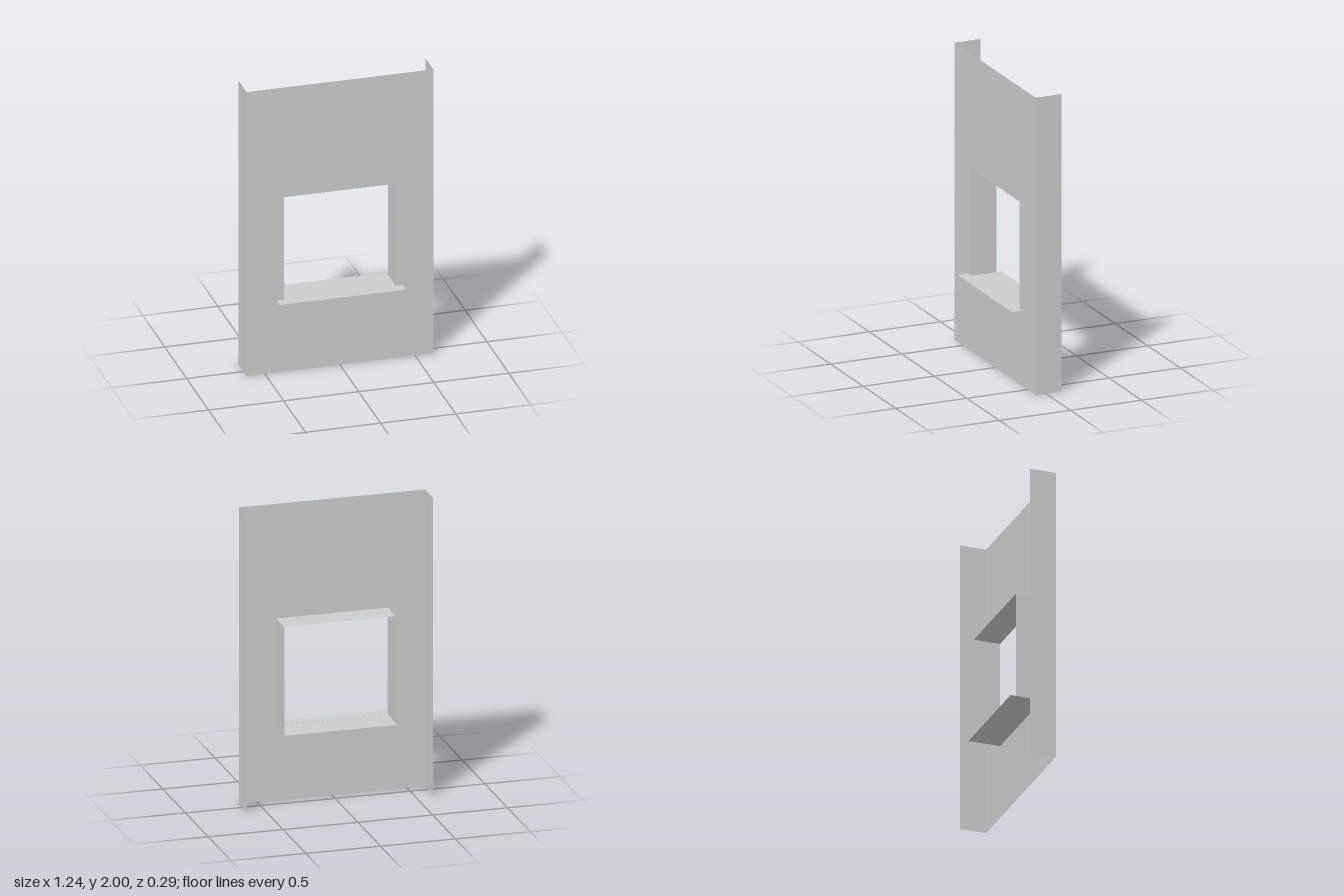
import * as THREE from 'three';

const material = new THREE.MeshStandardMaterial({ color: 0xcccccc, side: THREE.DoubleSide, flatShading: true });

const W = 0.622, H = 2;                        // panel half width and height
const HOLE = { x: 0.373, y0: 0.506, y1: 1.227 }; // window opening
const FRONT = 0.072, BACK = -0.108;            // sheet front and return depth
const SILL_BACK = -0.145, SILL_FRONT = 0.145, SILL_X = 0.422;

export function createModel() {
  const group = new THREE.Group();

  const add = (name, geometry, x = 0, y = 0, z = 0) => {
    const mesh = new THREE.Mesh(geometry, material);
    mesh.name = name;
    mesh.position.set(x, y, z);
    group.add(mesh);
  };

  // Thin sheets standing along the depth, or lying flat
  const uprightSheet = (name, x, y0, y1, side) =>
    add(name, new THREE.PlaneGeometry(FRONT - BACK, y1 - y0).rotateY(side * Math.PI / 2),
      x, (y0 + y1) / 2, (FRONT + BACK) / 2);
  const flatSheet = (name, y, z0, z1, turn) =>
    add(name, new THREE.PlaneGeometry(HOLE.x * 2, z1 - z0).rotateX(turn * Math.PI / 2),
      0, y, (z0 + z1) / 2);

  // Front sheet with the window opening
  const rect = (path, x, y0, y1) =>
    path.moveTo(-x, y0).lineTo(x, y0).lineTo(x, y1).lineTo(-x, y1).closePath();
  const face = rect(new THREE.Shape(), W, 0, H);
  face.holes.push(rect(new THREE.Path(), HOLE.x, HOLE.y0, HOLE.y1));
  add('wallPanel', new THREE.ShapeGeometry(face), 0, 0, FRONT);

  // Folded outer sides and window reveals
  for (const [label, s] of [['left', 1], ['right', -1]]) {
    uprightSheet(label + 'WallReturn', s * W, 0, H, s);
    uprightSheet(label + 'WindowReveal', s * HOLE.x, HOLE.y0, HOLE.y1, -s);
  }
  flatSheet('windowHead', HOLE.y1, BACK, FRONT, 1);

  // Sill sheet running past the back of the reveals
  flatSheet('innerSill', HOLE.y0, SILL_BACK, FRONT, -1);

  // Wider sill nose with a small drip lip, extruded across the width
  const t = 0.005, top = HOLE.y0 + 0.001, lip = 0.49;
  const nose = new THREE.Shape([
    [FRONT, top], [FRONT, top - t], [SILL_FRONT - t, top - t],
    [SILL_FRONT - t, lip], [SILL_FRONT, lip], [SILL_FRONT, top],
  ].map(([z, y]) => new THREE.Vector2(-z, y)));
  const noseGeometry = new THREE.ExtrudeGeometry(nose, { depth: SILL_X * 2, bevelEnabled: false });
  noseGeometry.translate(0, 0, -SILL_X).rotateY(Math.PI / 2);
  add('sillNose', noseGeometry);

  return group;
}
